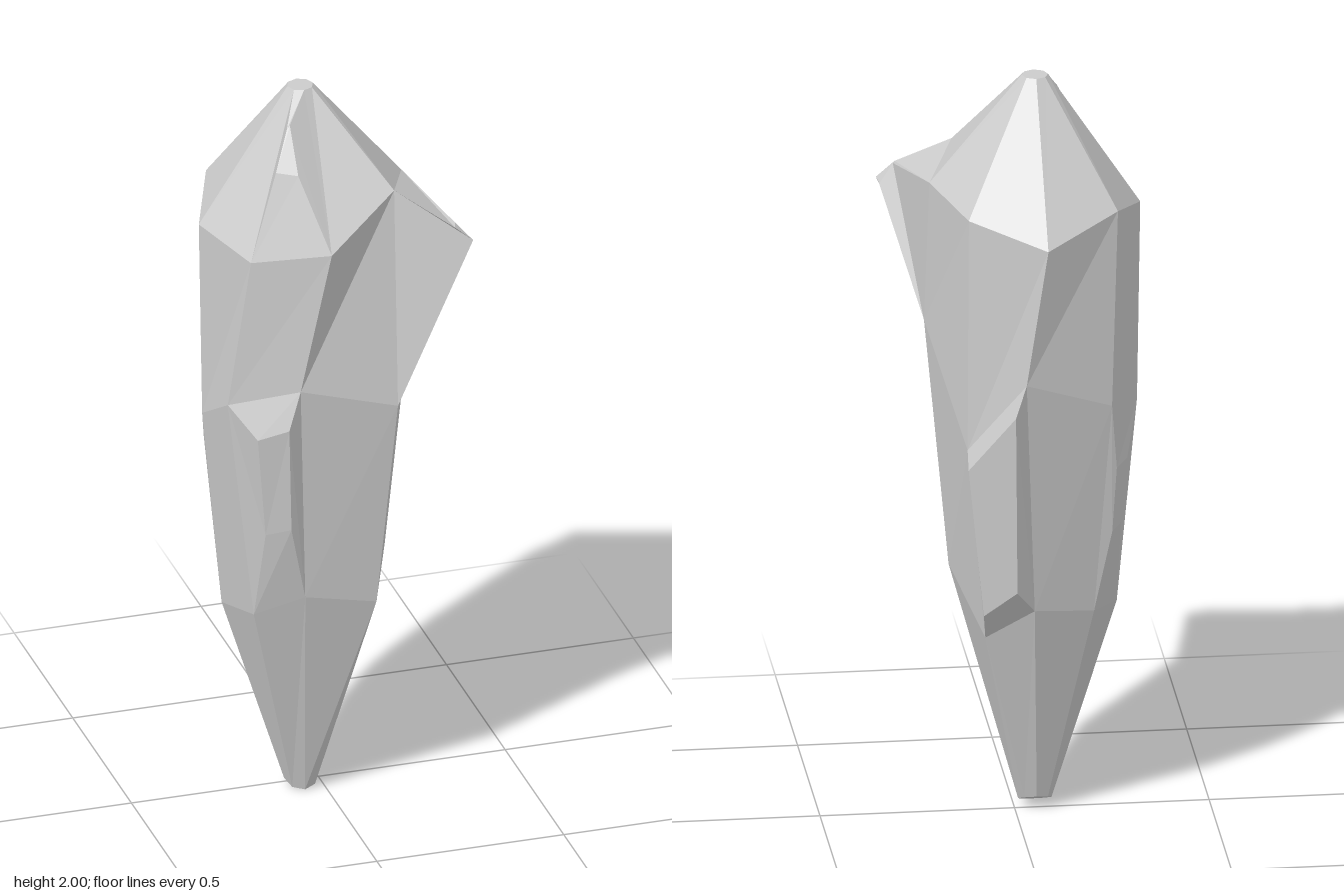
import * as THREE from 'three';

const SIDES = 8; // columns run right, front-right, front, front-left, left, back-left, back, back-right
const CX = -0.054, CZ = 0.017;

// Regular octagon around the shard's axis; height(i, sin) gives each corner's y
const octagon = (radius, height) => Array.from({ length: SIDES }, (_, i) => {
  const a = (i / SIDES) * Math.PI * 2;
  return [CX + radius * Math.cos(a), height(i, Math.sin(a)), CZ + radius * Math.sin(a)];
});

// Cross-sections from the top down
const shoulderHeights = [1.715, 1.76, 1.64, 1.61, 1.64, 1.69, 1.63, 1.68];
const tip = octagon(0.034, () => 2);
const shoulder = octagon(0.271, (i) => shoulderHeights[i]);
shoulder[6][2] = -0.288;
const waist = [
  [0.225, 1.32, 0.068], [0.128, 1.175, 0.272], [-0.13, 1.25, 0.265], [-0.3, 1.2, 0.185],
  [-0.317, 1.1, 0.02], [-0.23, 1.16, -0.18], [0, 1.26, -0.274], [0.14, 1.05, -0.168],
];
const taper = [
  [0.165, 0.66, 0.04], [0.09, 0.59, 0.21], [-0.1, 0.63, 0.208], [-0.225, 0.58, 0.168],
  [-0.265, 0.55, 0.02], [-0.19, 0.58, -0.125], [-0.03, 0.61, -0.19], [0.09, 0.52, -0.13],
];
const foot = octagon(0.043, (i, s) => 0.019 - 0.019 * s);
const rings = [tip, shoulder, waist, taper, foot];

// Facets pushed out into chips: band/column -> raised corners
// (upper, upper next, lower next, lower)
const chips = {
  '0/2': [[-0.113, 1.94, 0.118], [-0.122, 1.93, 0.12], [-0.165, 1.835, 0.165], [-0.113, 1.83, 0.19]],
  '1/0': [[0.282, 1.675, 0.268], [0.275, 1.672, 0.29], [0.323, 1.63, 0.292], [0.317, 1.62, 0.268]],
  '2/2': [[-0.165, 1.15, 0.28], [-0.24, 1.12, 0.25], [-0.21, 0.83, 0.22], [-0.15, 0.85, 0.25]],
  '2/4': [[-0.28, 0.98, -0.085], [-0.245, 0.98, -0.155], [-0.235, 0.8, -0.14], [-0.265, 0.8, -0.075]],
  '2/6': [[0.03, 1.18, -0.295], [0.142, 1.01, -0.21], [0.1, 0.6, -0.185], [0.02, 0.68, -0.24]],
};

export function createModel() {
  const positions = [];
  const tri = (a, b, c) => positions.push(...a, ...b, ...c);
  const quad = (a, b, c, d) => { tri(a, b, c); tri(a, c, d); };

  // Side facets, band by band
  for (let band = 0; band < rings.length - 1; band++) {
    for (let i = 0; i < SIDES; i++) {
      const n = (i + 1) % SIDES;
      const outer = [rings[band][i], rings[band][n], rings[band + 1][n], rings[band + 1][i]];
      const inner = chips[`${band}/${i}`];
      if (inner) {
        // Raised face with four slopes around it
        for (let k = 0; k < 4; k++) {
          const m = (k + 1) % 4;
          quad(outer[k], outer[m], inner[m], inner[k]);
        }
        quad(...inner);
      } else {
        quad(...outer);
      }
    }
  }

  // Flat ends
  for (let i = 1; i < SIDES - 1; i++) {
    tri(tip[0], tip[i + 1], tip[i]);
    tri(foot[0], foot[i], foot[i + 1]);
  }

  const geometry = new THREE.BufferGeometry();
  geometry.setAttribute('position', new THREE.Float32BufferAttribute(positions, 3));
  geometry.computeVertexNormals();

  const shard = new THREE.Mesh(
    geometry,
    new THREE.MeshStandardMaterial({ color: 0xcccccc, flatShading: true }),
  );
  shard.name = 'rockShard';

  const model = new THREE.Group();
  model.name = 'rock';
  model.add(shard);
  return model;
}
